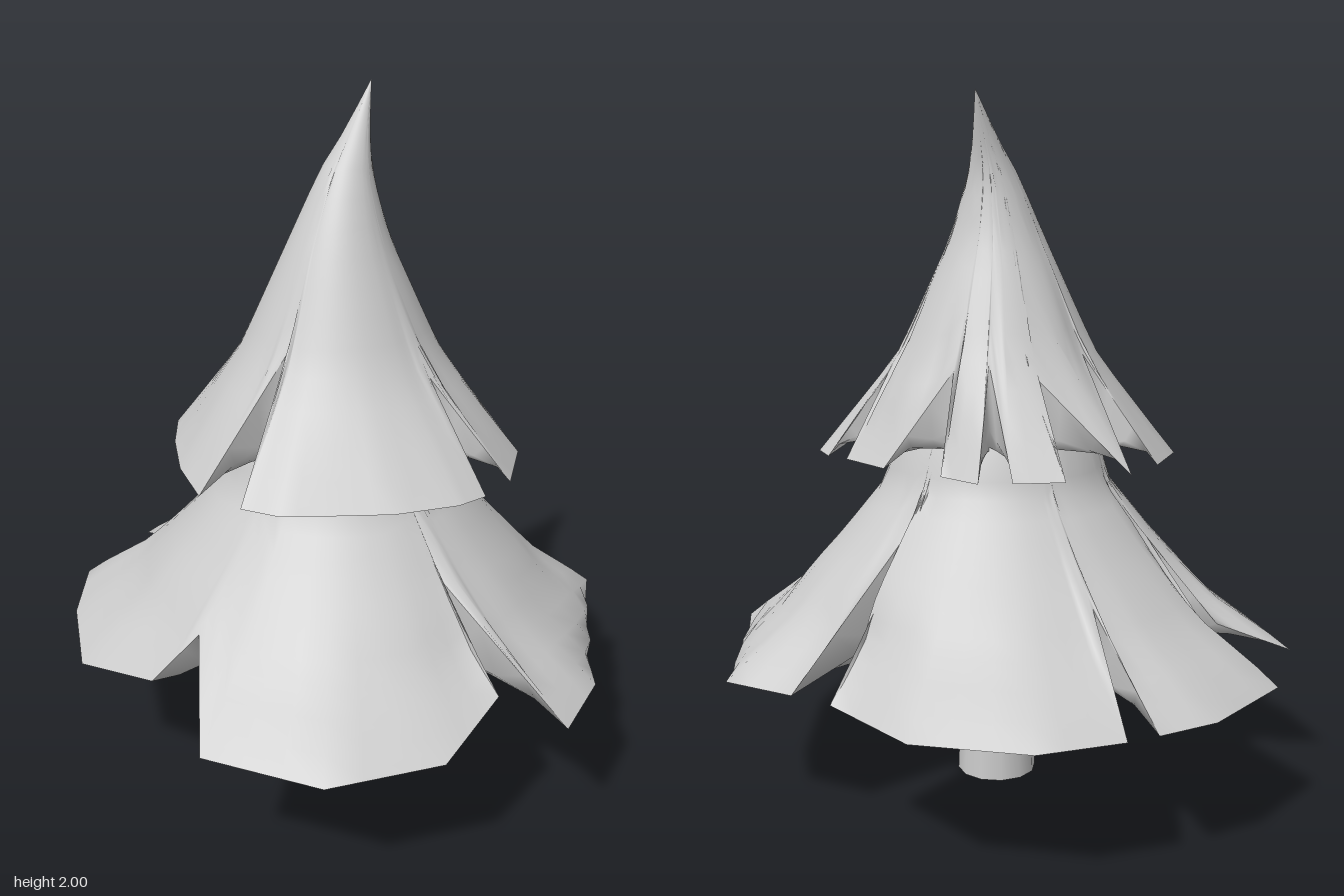
import * as THREE from 'three';

const material = new THREE.MeshStandardMaterial({ color: 0xcccccc, side: THREE.DoubleSide });

// Linear lookup in a profile of [y, radius, zLean] rows, listed from the top down
function profileAt(profile, y) {
  for (let i = 0; i < profile.length - 1; i++) {
    const a = profile[i], b = profile[i + 1];
    if (y >= b[0] || i === profile.length - 2) {
      const t = Math.min(1, Math.max(0, (a[0] - y) / (a[0] - b[0])));
      return [a[1] + (b[1] - a[1]) * t, a[2] + (b[2] - a[2]) * t];
    }
  }
}

// Closed loop of corners, each straight edge split into equal steps
function subdivide(corners, steps) {
  const points = [];
  corners.forEach((c, i) => {
    const a = new THREE.Vector3(...c);
    const b = new THREE.Vector3(...corners[(i + 1) % corners.length]);
    for (let k = 0; k < steps; k++) points.push(a.clone().lerp(b, k / steps));
  });
  return points;
}

// Surface through rows of points, each row a closed loop
function loft(rows, name) {
  const n = rows[0].length, index = [];
  for (let j = 0; j < rows.length - 1; j++) {
    for (let i = 0; i < n; i++) {
      const k = (i + 1) % n;
      const a = j * n + i, b = a + n, c = (j + 1) * n + k, d = j * n + k;
      index.push(a, b, c, a, c, d);
    }
  }
  const geometry = new THREE.BufferGeometry().setFromPoints(rows.flat());
  geometry.setIndex(index);
  geometry.computeVertexNormals();
  const mesh = new THREE.Mesh(geometry, material);
  mesh.name = name;
  return mesh;
}

// Flared skirt of foliage: outer surface down to a notched hem, plus its underside
function foliageTier(name, profile, hem, inner) {
  const group = new THREE.Group();
  group.name = name;
  const edge = subdivide(hem, 3);
  const top = profile[0][0], count = 14;
  const outer = [];
  for (let j = 0; j <= count; j++) {
    outer.push(edge.map((p) => {
      const angle = Math.atan2(p.x, p.z);
      const y = top + (p.y - top) * j / count;
      const [r, lean] = profileAt(profile, y);
      // Near the hem the radius eases from the profile to the hem corner
      const ease = Math.exp(-(((y - p.y) / 0.18) ** 2));
      const radius = r + (Math.hypot(p.x, p.z) - profileAt(profile, p.y)[0]) * ease;
      return new THREE.Vector3(Math.sin(angle) * radius, y, Math.cos(angle) * radius + lean);
    }));
  }
  const rim = edge.map((p) => {
    const angle = Math.atan2(p.x, p.z);
    return new THREE.Vector3(Math.sin(angle) * inner[0], inner[1], Math.cos(angle) * inner[0]);
  });
  // Shallow bowl underneath, with steep walls below the notches
  const bowl = [[0.15, 0.75], [0.5, 0.95]].map(([inward, drop]) => edge.map((p, i) => {
    const m = p.clone().lerp(rim[i], inward);
    m.y = p.y + (inner[1] - p.y) * drop;
    return m;
  }));
  group.add(loft(outer, name + 'Outside'), loft([edge, ...bowl, rim], name + 'Underside'));
  return group;
}

export function createModel() {
  const tree = new THREE.Group();
  tree.name = 'tree';

  // Tapered trunk
  const trunk = new THREE.Mesh(new THREE.CylinderGeometry(0.098, 0.117, 0.47, 12, 1, true), material);
  trunk.position.set(0.005, 0.235, 0.005);
  trunk.name = 'trunk';
  tree.add(trunk);

  // Wide lower foliage: five petals, notch tips marked by the higher corners
  tree.add(foliageTier('lowerFoliage',
    [[1.1, 0.26, 0], [1, 0.3, 0], [0.9, 0.33, 0], [0.74, 0.46, 0], [0.56, 0.63, 0], [0.41, 0.84, 0]],
    [
      [-0.06, 0.6, 0.59],
      [0.12, 0.405, 0.815], [0.46, 0.405, 0.74], [0.66, 0.405, 0.48], [0.675, 0.48, 0.23],
      [0.42, 0.74, 0.15],
      [0.85, 0.405, 0.16], [0.82, 0.405, -0.08], [0.64, 0.32, -0.4], [0.54, 0.405, -0.63], [0.32, 0.405, -0.65],
      [0.08, 0.85, -0.36],
      [0.19, 0.405, -0.67], [-0.11, 0.405, -0.82], [-0.42, 0.405, -0.76], [-0.6, 0.405, -0.6],
      [-0.42, 0.65, -0.35],
      [-0.66, 0.405, -0.53], [-0.77, 0.405, -0.39], [-0.86, 0.405, -0.08], [-0.63, 0.5, 0.04],
      [-0.44, 0.75, 0.06],
      [-0.64, 0.5, 0.11], [-0.83, 0.405, 0.24], [-0.68, 0.405, 0.45], [-0.45, 0.405, 0.66], [-0.13, 0.49, 0.71],
    ], [0.09, 0.46]));

  // Upper foliage, its tip bent backwards
  tree.add(foliageTier('upperFoliage',
    [[2, 0, -0.155], [1.87, 0.035, -0.085], [1.77, 0.072, -0.03], [1.6, 0.135, 0], [1.36, 0.245, 0],
      [1.26, 0.295, 0], [0.985, 0.52, 0]],
    [
      [0.01, 1.33, 0.26],
      [0.05, 0.985, 0.53], [0.16, 0.985, 0.51], [0.27, 0.985, 0.43], [0.4, 0.985, 0.33], [0.51, 0.985, 0.19], [0.54, 0.985, 0.1],
      [0.31, 1.25, 0.02],
      [0.55, 0.985, -0.02], [0.47, 0.985, -0.22], [0.4, 0.985, -0.29],
      [0.25, 1.24, -0.18],
      [0.33, 0.985, -0.31], [0.17, 0.985, -0.39],
      [0, 1.25, -0.3],
      [-0.02, 0.985, -0.43], [-0.15, 0.985, -0.48],
      [-0.09, 1.27, -0.27],
      [-0.23, 0.985, -0.44], [-0.35, 0.985, -0.37],
      [-0.18, 1.26, -0.23],
      [-0.48, 0.985, -0.22],
      [-0.27, 1.28, -0.03],
      [-0.5, 0.985, -0.05], [-0.49, 0.985, 0.15], [-0.39, 0.985, 0.28], [-0.25, 0.985, 0.42], [-0.09, 0.985, 0.53],
    ], [0.28, 1.03]));

  return tree;
}
